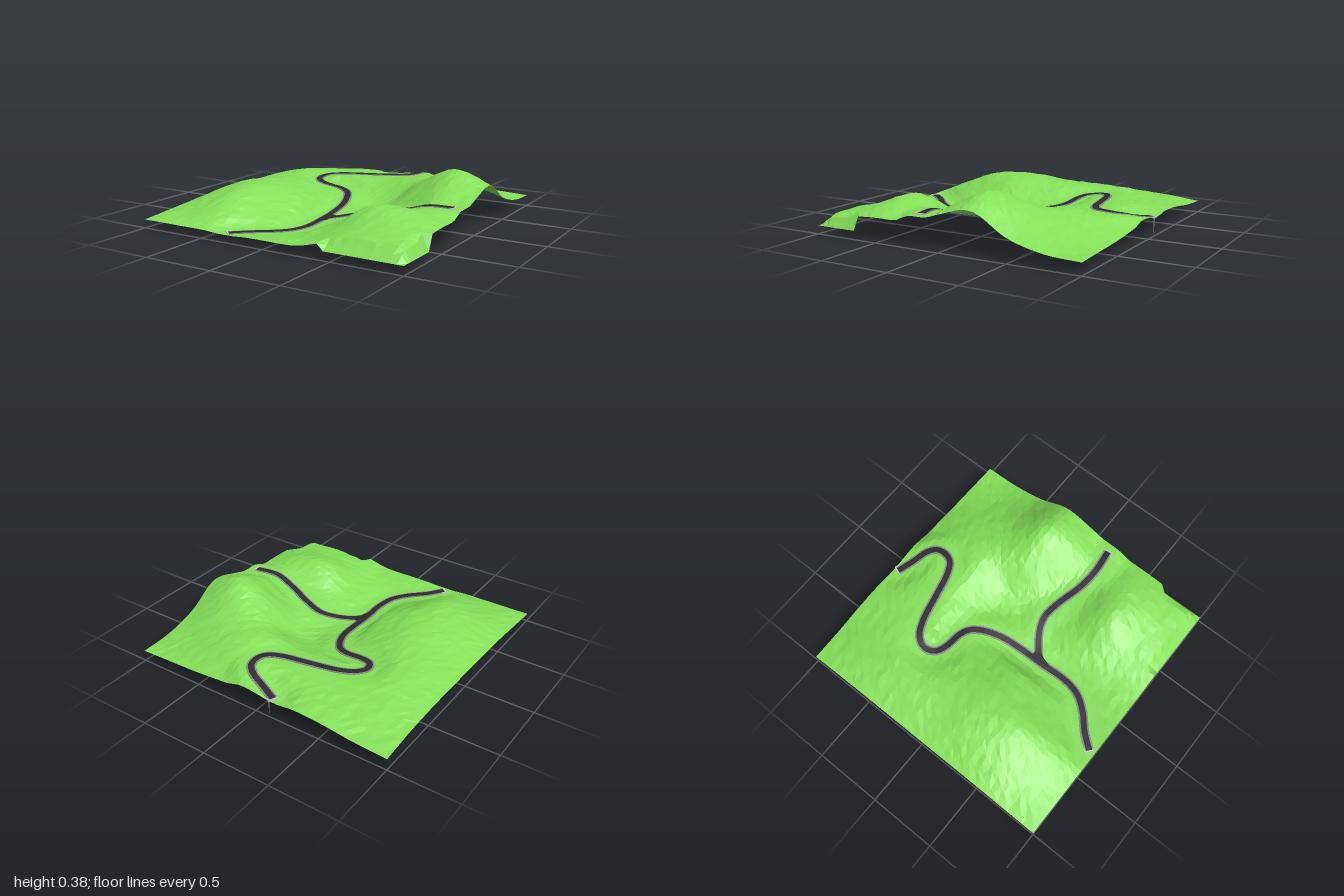
import * as THREE from 'three';

const material = (color) => new THREE.MeshStandardMaterial({ color, flatShading: true, side: THREE.DoubleSide });
const GRASS = material(0x84e058), ASPHALT = material(0x2c2a2d), KERB = material(0x88888c), WHITE = material(0xffffff);

// Heights in hundredths on a 9 x 9 grid: rows run back to front, columns run -x to +x
const HEIGHTS = [
  [8.5, 10, 13, 14, 13, 12, 10, 9, 8],
  [11, 15, 17, 18, 19, 21, 19, 14, 9.5],
  [12, 18, 19, 18, 18, 22, 24.5, 24, 16],
  [12, 19, 19, 14, 9, 10.5, 28, 38, 29.5],
  [11.5, 20, 22, 15, 7.5, 7, 17, 28, 24.5],
  [11, 22, 25, 18.5, 5, 8.5, 15, 20.5, 17.5],
  [10, 20, 24, 13, 4, 10.5, 25, 24.5, 17],
  [8, 13, 16, 7, 5, 8.5, 16, 18, 15.5],
  [6, 6, 6, 6, 6, 6.5, 12, 13, 13],
];

// Road centre lines
const curve = (pts) => new THREE.CatmullRomCurve3(pts.map((p) => new THREE.Vector3(...p)), false, 'centripetal');
const mainRoad = curve([
  [-0.13, 0.125, -0.97], [0, 0.15, -0.92], [0.11, 0.18, -0.88], [0.165, 0.193, -0.83], [0.178, 0.2, -0.76],
  [0.15, 0.2, -0.69], [0.06, 0.198, -0.64], [-0.1, 0.192, -0.6], [-0.34, 0.185, -0.54], [-0.435, 0.18, -0.485],
  [-0.472, 0.17, -0.41], [-0.445, 0.16, -0.335], [-0.37, 0.148, -0.3], [-0.22, 0.13, -0.283], [-0.15, 0.12, -0.25],
  [-0.09, 0.108, -0.17], [-0.04, 0.083, -0.04], [-0.02, 0.062, 0.1], [-0.01, 0.042, 0.3], [0, 0.036, 0.5],
  [-0.03, 0.039, 0.64], [-0.11, 0.043, 0.75], [-0.22, 0.047, 0.85], [-0.31, 0.052, 0.96],
]);
const sideRoad = curve([
  [0, 0.044, 0.27], [0.07, 0.05, 0.21], [0.18, 0.07, 0.135], [0.28, 0.09, 0.103],
  [0.4, 0.12, 0.12], [0.6, 0.17, 0.18], [0.75, 0.213, 0.2], [0.94, 0.215, 0.18],
]);
const roadSamples = [...mainRoad.getSpacedPoints(260), ...sideRoad.getSpacedPoints(90)];

let seed = 7;
const random = () => (seed = (seed * 16807) % 2147483647) / 2147483647 - 0.5;

function cubic(v, t) {
  const i = Math.min(Math.floor(t), v.length - 2), f = t - i;
  const b = v[i], c = v[i + 1], a = v[i - 1] ?? 2 * b - c, d = v[i + 2] ?? 2 * c - b;
  return b + 0.5 * f * (c - a + f * (2 * a - 5 * b + 4 * c - d + f * (3 * (b - c) + d - a)));
}

function groundHeight(x, z, bump) {
  let y = cubic(HEIGHTS.map((row) => cubic(row, (x + 1) * 4)), (z + 1) * 4) / 100 + bump;
  // steep banks along the front edge and the front left corner
  const drop = (k) => { y = THREE.MathUtils.lerp(0.06, y, Math.min(k, 1)); };
  if (x > 0.43) drop((1 - z) / 0.09);
  if (z > 0.65) drop((1 - x) / 0.05);
  // level the ground beside the road
  let best = Infinity, roadY = 0;
  for (const p of roadSamples) {
    const d = Math.hypot(p.x - x, p.z - z);
    if (d < best) { best = d; roadY = p.y; }
  }
  return THREE.MathUtils.lerp(roadY, y, THREE.MathUtils.smoothstep(best, 0.055, 0.18));
}

// Faceted ground with uneven triangles
function makeTerrain() {
  const geo = new THREE.PlaneGeometry(2, 2, 44, 44).rotateX(-Math.PI / 2);
  const pos = geo.attributes.position;
  for (let i = 0; i < pos.count; i++) {
    let x = pos.getX(i), z = pos.getZ(i), bump = 0;
    if (Math.abs(x) < 0.99 && Math.abs(z) < 0.99) {
      x += random() * 0.022;
      z += random() * 0.022;
      bump = random() * 0.007;
    }
    pos.setXYZ(i, x, groundHeight(x, z, bump), z);
  }
  geo.computeVertexNormals();
  return geo;
}

// Strip with a rectangular section that follows a curve and stays level across
function makeStrip(path, halfWidth, top, bottom, segments) {
  const verts = [], index = [];
  for (let i = 0; i <= segments; i++) {
    const p = path.getPointAt(i / segments), t = path.getTangentAt(i / segments).setY(0).normalize();
    for (const [s, h] of [[1, top], [-1, top], [-1, bottom], [1, bottom]])
      verts.push(p.x + s * halfWidth * t.z, p.y + h, p.z - s * halfWidth * t.x);
  }
  for (let i = 0; i < segments; i++)
    for (let k = 0; k < 4; k++) {
      const a = i * 4 + k, b = i * 4 + ((k + 1) % 4);
      index.push(a, b, a + 4, b, b + 4, a + 4);
    }
  const e = segments * 4;
  index.push(0, 2, 1, 0, 3, 2, e, e + 1, e + 2, e, e + 2, e + 3);
  const geo = new THREE.BufferGeometry();
  geo.setAttribute('position', new THREE.Float32BufferAttribute(verts, 3));
  geo.setIndex(index);
  geo.computeVertexNormals();
  return geo;
}

export function createModel() {
  const model = new THREE.Group();
  const add = (name, geo, mat, parent = model) => {
    const mesh = new THREE.Mesh(geo, mat);
    mesh.name = name;
    parent.add(mesh);
    return mesh;
  };

  add('terrain', makeTerrain(), GRASS);

  // Roads: grey kerbs with a narrower dark lane
  for (const [name, path, n] of [['mainRoad', mainRoad, 140], ['sideRoad', sideRoad, 45]]) {
    const road = new THREE.Group();
    road.name = name;
    model.add(road);
    add('kerbs', makeStrip(path, 0.033, 0.004, -0.004, n), KERB, road);
    add('lane', makeStrip(path, 0.021, 0.006, -0.006, n), ASPHALT, road);
  }

  // Flared junction
  const flare = new THREE.Shape([[-0.025, 0.16], [0.005, 0.205], [0.04, 0.21], [0.075, 0.225], [0.035, 0.28], [0.008, 0.37]]
    .map(([x, z]) => new THREE.Vector2(x, -z)));
  const flareGeo = new THREE.ExtrudeGeometry(flare, { depth: 0.014, bevelEnabled: false }).rotateX(-Math.PI / 2);
  const fp = flareGeo.attributes.position;
  for (let i = 0; i < fp.count; i++) // follow the slope of the main road
    fp.setY(i, fp.getY(i) + 0.036 + Math.max(0, 0.3 - fp.getZ(i)) * 0.1);
  flareGeo.computeVertexNormals();
  add('junction', flareGeo, ASPHALT);

  // White end markers: a bar across the road end and a short return along one side
  for (const [path, u, sign] of [[mainRoad, 0, 1], [mainRoad, 1, -1], [sideRoad, 1, -1]]) {
    const p = path.getPointAt(u), t = path.getTangentAt(u);
    const marker = new THREE.Group();
    marker.name = 'endMarker';
    marker.position.set(p.x, p.y + 0.004, p.z);
    marker.rotation.y = Math.atan2(t.x * sign, t.z * sign);
    add('bar', new THREE.BoxGeometry(0.07, 0.01, 0.01), WHITE, marker);
    add('return', new THREE.BoxGeometry(0.008, 0.01, 0.03), WHITE, marker).position.set(0.035, 0, 0.015);
    model.add(marker);
  }

  // Thin spike hanging below the back end of the road
  add('spike', new THREE.ConeGeometry(0.006, 0.13, 4).rotateX(Math.PI), KERB).position.set(-0.108, 0.065, -0.994);

  return model;
}
